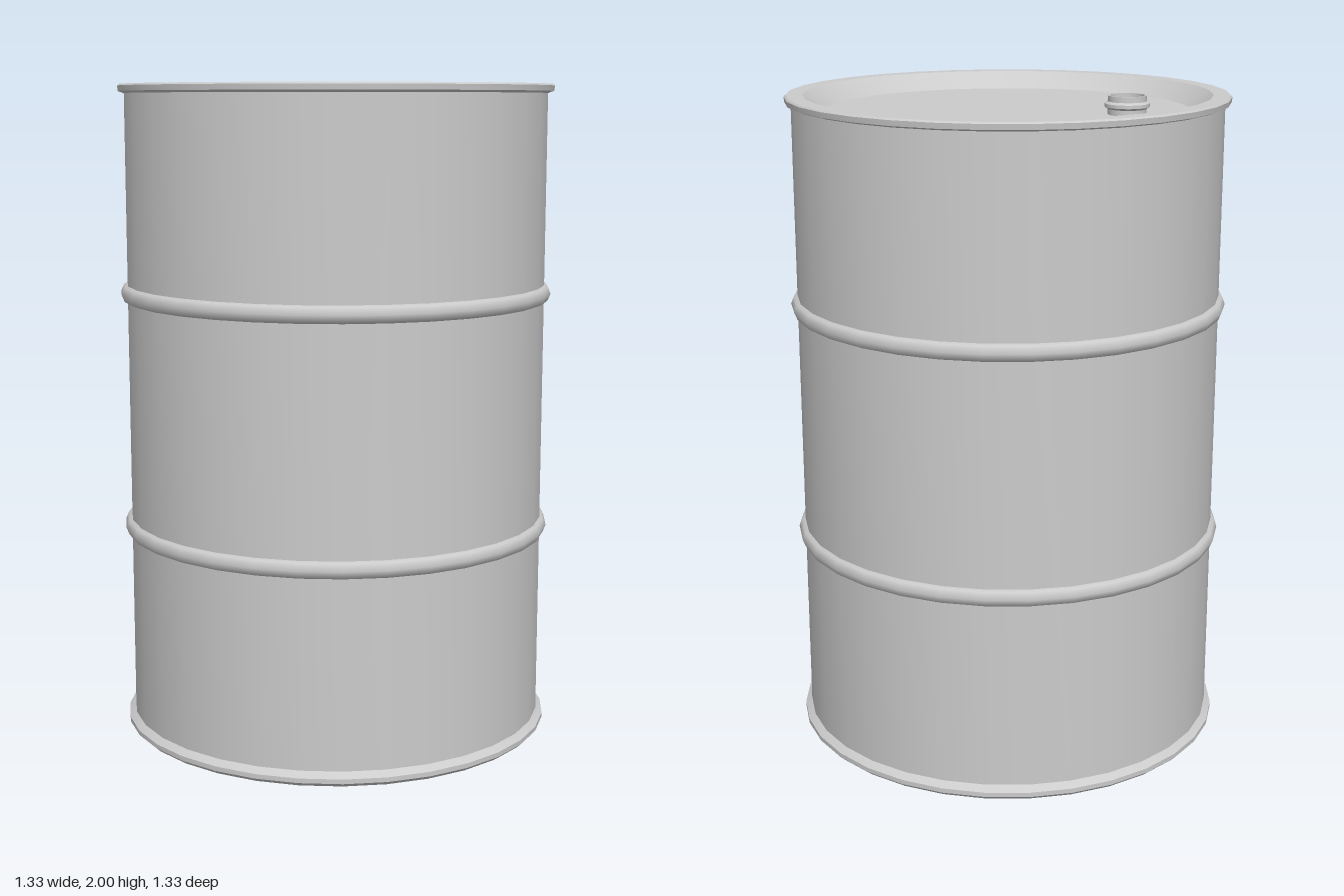
import * as THREE from 'three';
import { toCreasedNormals } from 'three/addons/utils/BufferGeometryUtils.js';

const steel = new THREE.MeshStandardMaterial({ color: 0xcccccc });

// Solid of revolution from [radius, height] pairs, with hard edges kept sharp
function turned(name, profile, segments) {
  const points = profile.map(([r, y]) => new THREE.Vector2(r, y));
  const geometry = toCreasedNormals(new THREE.LatheGeometry(points, segments), 0.6);
  const mesh = new THREE.Mesh(geometry, steel);
  mesh.name = name;
  return mesh;
}

export function createModel() {
  const model = new THREE.Group();
  model.name = 'drum';

  // Shell with recessed base, rolled rims and recessed lid
  model.add(turned('shell', [
    [0, 0.035], [0.57, 0.035], [0.61, 0],
    [0.652, 0], [0.665, 0.012], [0.665, 0.026], [0.645, 0.042],
    [0.645, 1.968], [0.663, 1.974], [0.665, 1.99], [0.66, 1.995],
    [0.61, 1.995], [0.55, 1.945], [0, 1.945],
  ], 32));

  // Two rolling hoops around the shell
  for (const [name, y] of [['lowerHoop', 0.64], ['upperHoop', 1.365]]) {
    const hoop = new THREE.Mesh(new THREE.TorusGeometry(0.635, 0.03, 8, 32), steel);
    hoop.name = name;
    hoop.rotation.x = Math.PI / 2;
    hoop.position.y = y;
    model.add(hoop);
  }

  // Open filler neck with a collar, standing on the lid
  const neck = turned('fillerNeck', [
    [0.057, 1.945], [0.057, 1.961], [0.066, 1.967], [0.066, 1.977],
    [0.057, 1.983], [0.057, 2], [0.051, 2], [0.051, 1.95], [0, 1.95],
  ], 24);
  neck.position.x = -0.365;
  model.add(neck);

  return model;
}
